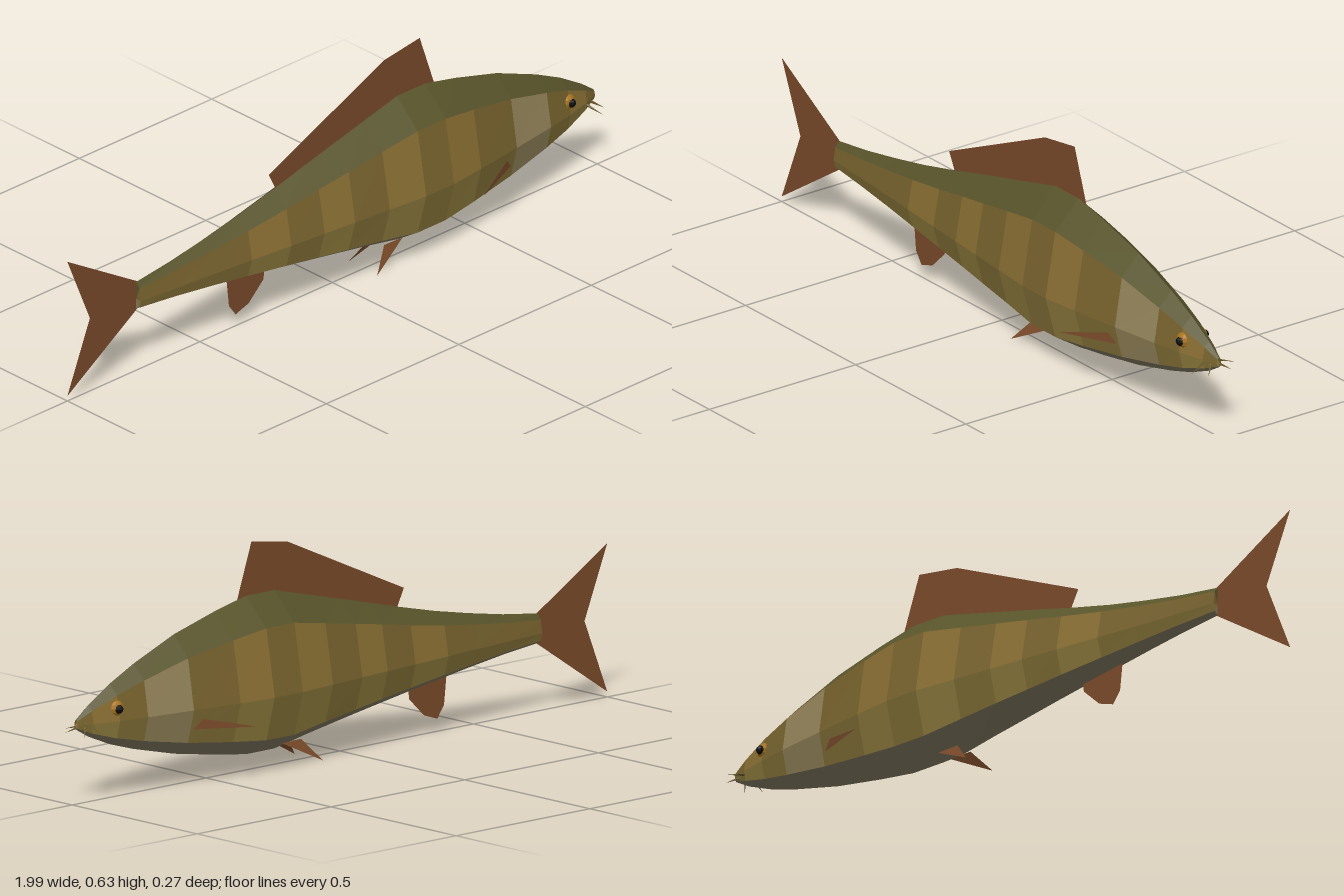
import * as THREE from 'three';

const mat = (color) => new THREE.MeshStandardMaterial({ color, flatShading: true, side: THREE.DoubleSide });
const finMat = mat(0x7a4a2a);

// Body stations: [x, top y, bottom y, half width]; the widest line stays at y = MID
const MID = 0.22;
const STATIONS = [
  [-0.74, 0.22, 0.22, 0], [-0.74, 0.273, 0.19, 0.018], [-0.61, 0.29, 0.177, 0.03], [-0.48, 0.313, 0.16, 0.042],
  [-0.355, 0.338, 0.142, 0.055], [-0.22, 0.37, 0.122, 0.069], [-0.105, 0.4, 0.104, 0.08],
  [0, 0.426, 0.087, 0.091], [0.12, 0.456, 0.067, 0.102], [0.245, 0.487, 0.044, 0.115],
  [0.35, 0.487, 0.044, 0.115], [0.465, 0.462, 0.06, 0.102], [0.62, 0.42, 0.086, 0.081],
  [0.77, 0.361, 0.122, 0.059], [0.86, 0.318, 0.149, 0.042], [0.94, 0.27, 0.182, 0.022],
  [0.985, 0.237, 0.208, 0.007], [0.99, 0.222, 0.222, 0],
];

// Corner j of the eight-sided cross-section, counted from the back ridge
function corner([x, top, bottom, w], j) {
  const a = (j * Math.PI) / 4, c = Math.cos(a);
  return [x, MID + c * (c > 0 ? top - MID : MID - bottom), w * Math.sin(a)];
}

// Skin panels for the chosen sectors and the chosen lengthwise segments
function skin(name, color, sectors, wanted) {
  const pos = [];
  for (let i = 0; i < STATIONS.length - 1; i++) {
    if (!wanted(i)) continue;
    for (const j of sectors) {
      const a = corner(STATIONS[i], j), b = corner(STATIONS[i], j + 1);
      const c = corner(STATIONS[i + 1], j + 1), d = corner(STATIONS[i + 1], j);
      if (STATIONS[i][3] > 0) pos.push(...a, ...b, ...d);
      if (STATIONS[i + 1][3] > 0) pos.push(...b, ...c, ...d);
    }
  }
  return mesh(name, surface(pos), mat(color));
}

function surface(pos) {
  const g = new THREE.BufferGeometry();
  g.setAttribute('position', new THREE.Float32BufferAttribute(pos, 3));
  g.computeVertexNormals();
  return g;
}

function mesh(name, geometry, material) {
  const m = new THREE.Mesh(geometry, material);
  m.name = name;
  return m;
}

// Flat fin in the centre plane
function flatFin(name, points) {
  const shape = new THREE.Shape(points.map(([x, y]) => new THREE.Vector2(x, y)));
  return mesh(name, new THREE.ShapeGeometry(shape), finMat);
}

// Thin spike from root to tip
function spike(name, root, tip, radius, material) {
  const a = new THREE.Vector3(...root), dir = new THREE.Vector3(...tip).sub(a);
  const len = dir.length();
  const m = mesh(name, new THREE.ConeGeometry(radius, len, 4).translate(0, len / 2, 0), material);
  m.position.copy(a);
  m.quaternion.setFromUnitVectors(new THREE.Vector3(0, 1, 0), dir.normalize());
  return m;
}

export function createModel() {
  const fish = new THREE.Group();
  fish.name = 'fish';

  // Body: dark back, banded flanks, pale cheeks, grey belly
  const body = new THREE.Group();
  body.name = 'body';
  const cheek = (i) => i === 12;
  const light = (i) => !cheek(i) && i % 2 === 0 && i > 2;
  const dark = (i) => !cheek(i) && !light(i);
  body.add(
    skin('back', 0x57532a, [0, 7], () => true),
    skin('upperFlankLight', 0x8a6f33, [1, 6], light),
    skin('upperFlankDark', 0x78632e, [1, 6], dark),
    skin('lowerFlankLight', 0x93803f, [2, 5], light),
    skin('lowerFlankDark', 0x867338, [2, 5], dark),
    skin('cheeks', 0x94845a, [1, 2, 5, 6], cheek),
    skin('belly', 0x7f7860, [3, 4], () => true),
  );
  fish.add(body);

  // Fins along the centre line
  fish.add(
    flatFin('dorsalFin', [[-0.21, 0.36], [-0.24, 0.42], [0.195, 0.615], [0.33, 0.635], [0.385, 0.475], [0.25, 0.47]]),
    flatFin('tailFin', [[-0.735, 0.273], [-1, 0.43], [-0.915, 0.225], [-1, 0.015], [-0.735, 0.19]]),
    flatFin('analFin', [[-0.4, 0.16], [-0.39, 0.07], [-0.365, 0.035], [-0.315, 0.052], [-0.26, 0.105], [-0.255, 0.14]]),
  );

  // Paired parts
  const barbelMat = mat(0x6b5a2a), eyeMat = mat(0xa8741c), pupilMat = mat(0x0c0c0c);
  for (const [side, s] of [['left', 1], ['right', -1]]) {
    fish.add(mesh(side + 'PectoralFin', surface([0.61, 0.197, 0.068 * s, 0.61, 0.163, 0.068 * s, 0.44, 0.157, 0.137 * s]), finMat));
    fish.add(mesh(side + 'PelvicFin', surface([0.24, 0.062, 0.027 * s, 0.17, 0.064, 0.027 * s, 0.115, 0, 0.057 * s]), finMat));

    const eye = mesh(side + 'Eye', new THREE.SphereGeometry(0.022, 8, 6), eyeMat);
    eye.scale.z = 0.7;
    eye.position.set(0.862, 0.255, 0.031 * s);
    const pupil = mesh(side + 'Pupil', new THREE.SphereGeometry(0.013, 8, 6), pupilMat);
    pupil.position.set(0.864, 0.254, 0.041 * s);
    fish.add(eye, pupil);

    fish.add(spike(side + 'LongBarbel', [0.94, 0.214, 0.01 * s], [0.955, 0.195, 0.075 * s], 0.005, barbelMat));
    fish.add(spike(side + 'ShortBarbel', [0.96, 0.214, 0.007 * s], [0.99, 0.193, 0.04 * s], 0.005, barbelMat));
  }
  return fish;
}
